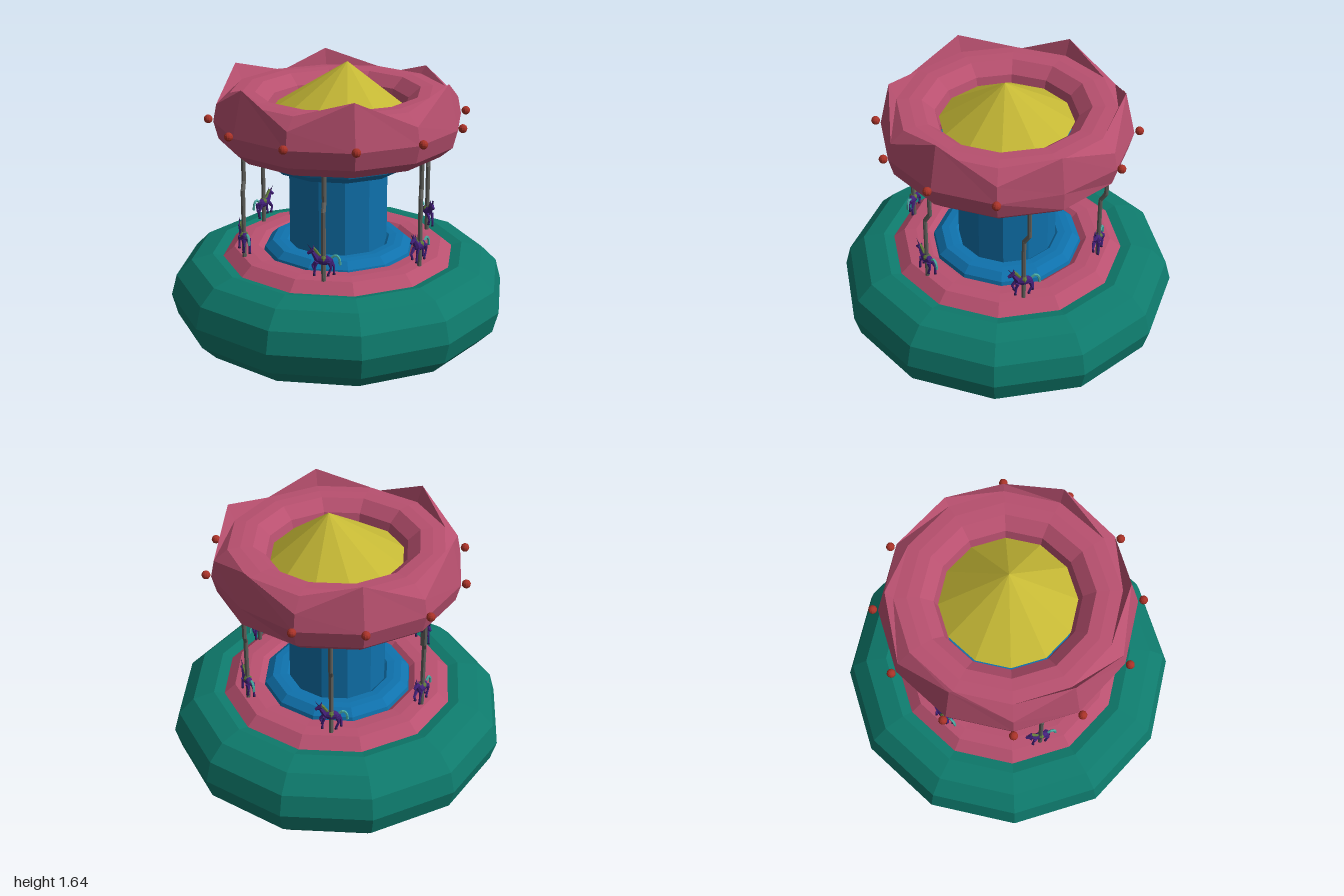
import * as THREE from 'three';

const SIDES = 12;
const mat = (color, extra = {}) => new THREE.MeshStandardMaterial({ color, flatShading: true, ...extra });
const green = mat(0x0e7a6c), pink = mat(0xb8506f), blue = mat(0x0f72ad), yellow = mat(0xc4b735);
const red = mat(0xa83228), steel = mat(0x60605c), purple = mat(0x43207a), navy = mat(0x2a1c4a);
const teal = mat(0x4aa8a0), olive = mat(0x5f7a3a);

// Quarter cross-sections, from the outer equator to the crown
const ROUND = [[1, 0], [0.866, 0.5], [0.5, 0.866], [0, 1]];
const SQUARISH = [[1, 0], [0.84, 0.61], [0.42, 0.97], [0, 1]];

function mesh(parent, name, geometry, material, pos = [0, 0, 0], rot = [0, 0, 0]) {
  const m = new THREE.Mesh(geometry, material);
  m.name = name;
  m.position.set(...pos);
  m.rotation.set(...rot);
  parent.add(m);
  return m;
}

// Faceted ring whose closed section is mirrored from a quarter section
function ringGeometry(R, r, quarter) {
  const half = [...quarter, ...quarter.slice(0, 3).reverse().map(([x, y]) => [-x, y])];
  const loop = [...half, ...half.slice(0, 6).reverse().map(([x, y]) => [x, -y])];
  return new THREE.LatheGeometry(loop.map(([x, y]) => new THREE.Vector2(R + r * x, r * y)), SIDES);
}

// Canopy ring: every second upper-rim corner is pulled up into a peak
function canopyGeometry() {
  const g = ringGeometry(0.55, 0.17, SQUARISH), p = g.attributes.position, row = 13;
  for (let i = 0; i <= SIDES; i++) {
    const k = i % SIDES, a = (k / SIDES) * Math.PI * 2;
    const place = (j, rad, y) => p.setXYZ(i * row + j, rad * Math.sin(a), y, rad * Math.cos(a));
    if (k % 2) place(1, 0.66, k === 3 ? 0.21 : 0.26);
    else place(1, 0.7, 0.1);
    if (k === 3) for (const j of [0, 12]) place(j, 0.695, 0);
  }
  return g;
}

// Tapered limb between two points
function limb(parent, name, a, b, ra, rb, material, sides = 6) {
  const A = new THREE.Vector3(...a), B = new THREE.Vector3(...b), d = B.clone().sub(A);
  const m = mesh(parent, name, new THREE.CylinderGeometry(rb, ra, d.length(), sides), material);
  m.position.copy(A).add(B).multiplyScalar(0.5);
  m.quaternion.setFromUnitVectors(new THREE.Vector3(0, 1, 0), d.normalize());
  return m;
}

function tube(parent, name, pts, r, material, sides = 5) {
  const curve = new THREE.CatmullRomCurve3(pts.map(p => new THREE.Vector3(...p)));
  return mesh(parent, name, new THREE.TubeGeometry(curve, 8, r, sides), material);
}

// Horned horse facing +x, its origin at the middle of the body
function createHorse() {
  const h = new THREE.Group();
  h.name = 'horse';
  const body = mesh(h, 'body', new THREE.SphereGeometry(0.03, 8, 6), purple);
  body.scale.set(1.75, 0.95, 0.8);
  limb(h, 'neck', [0.032, 0.005, 0], [0.062, 0.05, 0], 0.02, 0.012, purple);
  limb(h, 'head', [0.054, 0.056, 0], [0.088, 0.035, 0], 0.015, 0.008, purple);
  limb(h, 'horn', [0.068, 0.06, 0], [0.09, 0.09, 0], 0.004, 0.0005, navy, 5);
  tube(h, 'mane', [[0.06, 0.068, 0], [0.045, 0.055, 0], [0.032, 0.036, 0], [0.02, 0.022, 0]], 0.009, olive);
  tube(h, 'tail', [[-0.045, 0.015, 0], [-0.068, 0.03, 0], [-0.086, 0.012, 0], [-0.092, -0.025, 0]], 0.008, teal);
  const saddle = mesh(h, 'saddle', new THREE.SphereGeometry(0.026, 8, 5), olive, [-0.002, 0.008, 0]);
  saddle.scale.set(0.8, 0.95, 1);
  for (const s of [-1, 1]) {
    const z = s * 0.014;
    mesh(h, 'ear', new THREE.ConeGeometry(0.005, 0.016, 4), purple, [0.055, 0.074, s * 0.008]);
    // Front legs, one lifted; hind legs in stride
    const foreKnee = [s > 0 ? 0.064 : 0.045, -0.04, z], foreHoof = [s > 0 ? 0.052 : 0.05, s > 0 ? -0.067 : -0.08, z];
    const hindKnee = [-0.05 - s * 0.006, -0.04, z], hindHoof = [-0.042 - s * 0.014, -0.08, z];
    limb(h, 'foreLegUpper', [0.036, -0.008, z], foreKnee, 0.012, 0.007, purple);
    limb(h, 'foreLegLower', foreKnee, foreHoof, 0.007, 0.007, purple);
    limb(h, 'hindLegUpper', [-0.036, -0.004, z], hindKnee, 0.015, 0.007, purple);
    limb(h, 'hindLegLower', hindKnee, hindHoof, 0.007, 0.007, purple);
    for (const [x, y] of [foreHoof, hindHoof])
      mesh(h, 'hoof', new THREE.CylinderGeometry(0.007, 0.009, 0.01, 6), navy, [x, y - 0.004, z]);
  }
  return h;
}

export function createModel() {
  const model = new THREE.Group();
  model.name = 'carousel';

  // Stacked rings and column
  mesh(model, 'baseRing', ringGeometry(0.75, 0.25, ROUND), green, [0, 0.25, 0]);
  mesh(model, 'platformRing', ringGeometry(0.55, 0.17, SQUARISH), pink, [0, 0.375, 0]);
  mesh(model, 'lowerColumnCollar', ringGeometry(0.35, 0.105, SQUARISH), blue, [0, 0.47, 0]);
  mesh(model, 'column', new THREE.CylinderGeometry(0.29, 0.29, 0.78, SIDES), blue, [0, 0.81, 0]);
  mesh(model, 'upperColumnCollar', ringGeometry(0.35, 0.105, SQUARISH), blue, [0, 1.14, 0]);
  mesh(model, 'canopy', canopyGeometry(), pink, [0, 1.31, 0]);

  // Roof cone with a slightly off-centre tip
  const cone = new THREE.ConeGeometry(0.385, 0.27, SIDES);
  const p = cone.attributes.position;
  for (let i = 0; i < p.count; i++)
    if (p.getY(i) > 0) p.setXYZ(i, 0.04, p.getY(i), 0.03);
  mesh(model, 'roofCone', cone, yellow, [0, 1.37 + 0.135, 0]);

  // Lamps around the canopy, with one gap on the left side
  const lamp = new THREE.SphereGeometry(0.025, 10, 8);
  for (let i = 1; i < SIDES; i++) {
    const a = (i / SIDES) * Math.PI * 2;
    mesh(model, 'lamp', lamp, red, [0.748 * Math.cos(a), 1.325, 0.748 * Math.sin(a)]);
  }

  // Six cranked poles, each carrying a horse
  for (let i = 0; i < 6; i++) {
    const a = Math.PI / 12 + (i * Math.PI) / 3;
    const x = 0.585 * Math.cos(a), z = 0.585 * Math.sin(a);
    const ride = new THREE.Group();
    ride.name = 'ride';
    ride.position.set(x, 0, z);
    const low = [-0.012, 0.012], high = [0.01, -0.01];
    limb(ride, 'poleLower', [low[0], 0.54, low[1]], [low[0], 0.945, low[1]], 0.013, 0.013, steel, 8);
    limb(ride, 'poleCrank', [low[0], 0.94, low[1]], [high[0], 0.99, high[1]], 0.013, 0.013, steel, 8);
    limb(ride, 'poleUpper', [high[0], 0.985, high[1]], [high[0], 1.19, high[1]], 0.013, 0.013, steel, 8);
    const horse = createHorse();
    horse.position.set(low[0], 0.665, low[1]);
    horse.rotation.y = -(a + Math.PI / 2);
    ride.add(horse);
    model.add(ride);
  }
  return model;
}
